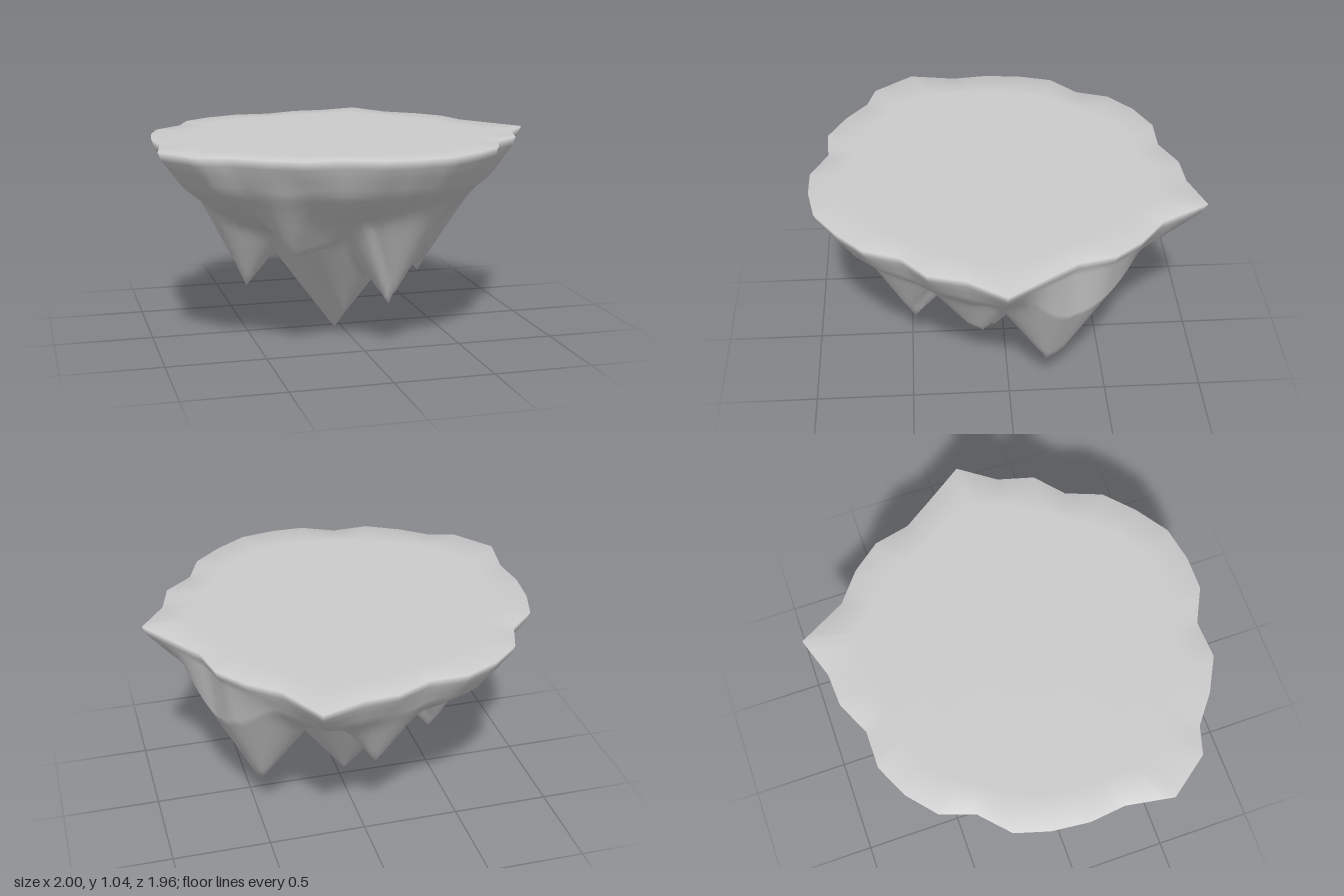
import * as THREE from 'three';
import { mergeVertices } from 'three/addons/utils/BufferGeometryUtils.js';

// Island rim seen from above, [x, z]
const RIM = [
  [1, .04], [.87, .22], [.82, .4], [.68, .52], [.61, .7], [.47, .83], [.31, .94], [.13, .975],
  [-.04, .975], [-.21, .89], [-.4, .9], [-.57, .81], [-.71, .7], [-.85, .66], [-1, .46], [-.96, .22],
  [-.98, .04], [-.96, -.15], [-.91, -.32], [-.77, -.45], [-.71, -.62], [-.57, -.74], [-.4, -.82], [-.21, -.82],
  [-.04, -.9], [.13, -.91], [.34, -.98], [.47, -.74], [.62, -.62], [.73, -.48], [.77, -.3], [.87, -.15],
];
// Rounder outline that the underside shrinks towards
const ROUND = RIM.map((_, i) => [0, 1].map(axis => {
  let sum = 0;
  for (let k = -1; k <= 1; k++) sum += RIM[(i + k + RIM.length) % RIM.length][axis];
  return sum / 3;
}));
const TOP = 1.04;
const CENTRE = [-.04, .05];

// Hanging rock spikes: tip, end of the ridge running from the tip, steepness
const SPIKES = [
  { tip: [-.04, 0, .05], end: [-.03, .11, .2], steep: 1.35 },
  { tip: [-.5, .24, -.02], end: [-.52, .3, -.06], steep: 1.6 },
  { tip: [.13, .23, .48], end: [.15, .28, .5], steep: 1.6 },
  { tip: [.5, .22, -.19], end: [.48, .24, -.26], steep: 1.65 },
  { tip: [.4, .34, .13], end: [.42, .4, .2], steep: 1.25 },
  { tip: [-.04, .44, -.55], end: [-.04, .46, -.42], steep: 1.4 },
  { tip: [-.38, .52, .56], end: [-.2, .55, .54], steep: 1.2 },
];

// Bowl of the underside: [fraction of rim radius, height]
const BOWL = [[0, .53], [.4, .57], [.6, .64], [.75, .73], [.85, .81], [.9, .86], [.95, .94], [.985, .995], [1, TOP]];

function bowlHeight(s) {
  const k = Math.max(1, BOWL.findIndex(([r]) => r >= s));
  const [r0, y0] = BOWL[k - 1], [r1, y1] = BOWL[k];
  return y0 + (y1 - y0) * (s - r0) / (r1 - r0);
}

function smoothMin(a, b, k) {
  const h = Math.max(k - Math.abs(a - b), 0) / k;
  return Math.min(a, b) - h * h * k / 4;
}

// Lowest of the bowl and all spikes; spikes are steeper on their outer side
function undersideHeight(x, z, s) {
  let y = bowlHeight(s);
  if (s > .93) return y;
  for (const { tip: [tx, ty, tz], end: [ex, ey, ez], steep } of SPIKES) {
    const rx = ex - tx, rz = ez - tz;
    const along = ((x - tx) * rx + (z - tz) * rz) / (rx * rx + rz * rz);
    const f = THREE.MathUtils.clamp(along, 0, 1);
    const dx = x - tx - f * rx, dz = z - tz - f * rz;
    const d = Math.hypot(dx, dz), r = Math.hypot(tx, tz);
    const outward = r > .3 && d > 0 ? (dx * tx + dz * tz) / (d * r) : 0;
    y = smoothMin(y, ty + f * (ey - ty) + d * (steep + .35 * outward), .05);
  }
  return y;
}

// Point on the rim outline, rounded off by the given amount
function outlinePoint(t, round) {
  const i = Math.floor(t), n = (i + 1) % RIM.length, f = t - i;
  return [0, 1].map(axis => {
    const sharp = RIM[i][axis] * (1 - f) + RIM[n][axis] * f;
    const soft = ROUND[i][axis] * (1 - f) + ROUND[n][axis] * f;
    return sharp + (soft - sharp) * round;
  });
}

function createIslandGeometry() {
  const sub = 4, cols = RIM.length * sub, rows = 36;
  // Rings run from the middle of the top, over the rim, to the lowest tip
  const rings = [0, .3, .6, .82, 1].map(s => ({ s, top: true }));
  for (const s of [.985, .95]) rings.push({ s });
  const firstLower = rings.length;
  for (let j = 0; j <= rows; j++) rings.push({ s: .92 * (1 - j / rows) });

  const pos = [], index = [];
  for (const { s, top } of rings) {
    const round = Math.min(1, (1 - s) / .25);
    for (let i = 0; i < cols; i++) {
      const [ox, oz] = outlinePoint(i / sub, round);
      const x = CENTRE[0] + s * (ox - CENTRE[0]);
      const z = CENTRE[1] + s * (oz - CENTRE[1]);
      pos.push(x, top ? TOP : s === 0 ? 0 : Math.max(0, undersideHeight(x, z, s)), z);
    }
  }
  // Pull the nearest underside vertex onto each outer tip to keep it sharp
  for (const { tip } of SPIKES.slice(1)) {
    let best = 0, near = Infinity;
    for (let v = firstLower * cols; v < pos.length / 3 - cols; v++) {
      const d = Math.hypot(pos[3 * v] - tip[0], pos[3 * v + 2] - tip[2]);
      if (d < near) { near = d; best = v; }
    }
    pos.splice(3 * best, 3, ...tip);
  }
  for (let j = 0; j < rings.length - 1; j++) {
    for (let i = 0; i < cols; i++) {
      const n = (i + 1) % cols;
      const a = j * cols + i, b = j * cols + n, c = a + cols, d = b + cols;
      if (j > 0) index.push(a, b, c);
      if (j < rings.length - 2) index.push(b, d, c);
    }
  }
  let geo = new THREE.BufferGeometry();
  geo.setAttribute('position', new THREE.Float32BufferAttribute(pos, 3));
  geo.setIndex(index);
  geo = mergeVertices(geo, 1e-5);
  geo.computeVertexNormals();
  return geo;
}

export function createModel() {
  const group = new THREE.Group();
  group.name = 'floatingIsland';
  const rock = new THREE.Mesh(
    createIslandGeometry(),
    new THREE.MeshStandardMaterial({ color: 0xcccccc }),
  );
  rock.name = 'islandRock';
  group.add(rock);
  return group;
}
